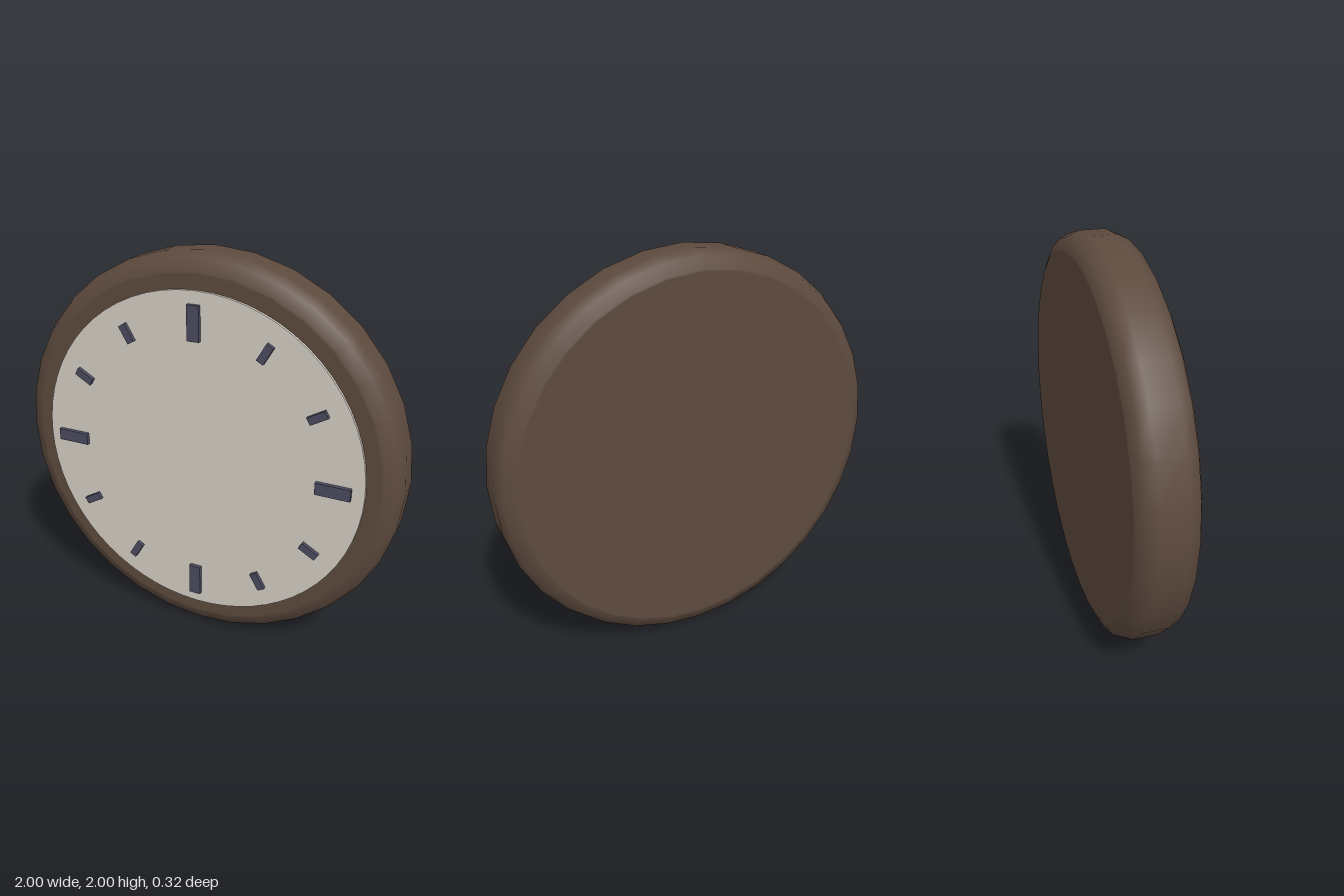
import * as THREE from 'three';

const bodyMat = new THREE.MeshStandardMaterial({ name: 'brown casing', color: 0x5d4a3e });
const dialMat = new THREE.MeshStandardMaterial({ name: 'cream dial', color: 0xd5cfc4 });
const markMat = new THREE.MeshStandardMaterial({ name: 'slate markers', color: 0x4a4a5f });

const BACK = -0.16, FRONT = 0.125, DIAL = 0.14, TOP = 0.16;

function addMesh(parent, name, geometry, material) {
  const mesh = new THREE.Mesh(geometry, material);
  mesh.name = name;
  parent.add(mesh);
  return mesh;
}

export function createModel() {
  const clock = new THREE.Group();
  clock.name = 'wallClock';

  // Round casing with a two-step bevel; the narrow rings near 0.91 keep the caps flat
  const profile = [
    [0, BACK], [0.91, BACK], [0.92, BACK], [0.975, BACK + 0.025], [1, BACK + 0.08],
    [1, FRONT - 0.08], [0.975, FRONT - 0.025], [0.92, FRONT], [0.91, FRONT], [0, FRONT],
  ].map(([r, z]) => new THREE.Vector2(r, z));
  const casing = new THREE.LatheGeometry(profile, 32).rotateX(Math.PI / 2);
  addMesh(clock, 'casing', casing, bodyMat).position.y = 1;

  // Thin raised dial
  const dial = new THREE.CylinderGeometry(0.84, 0.84, DIAL - FRONT, 64).rotateX(Math.PI / 2);
  addMesh(clock, 'dial', dial, dialMat).position.set(0, 1, (DIAL + FRONT) / 2);

  // Hour markers, longer at the quarters
  const markers = new THREE.Group();
  markers.name = 'hourMarkers';
  clock.add(markers);
  const depth = TOP - DIAL;
  const quarter = new THREE.BoxGeometry(0.06, 0.168, depth);
  const hour = new THREE.BoxGeometry(0.038, 0.094, depth);
  for (let i = 0; i < 12; i++) {
    const a = (i * Math.PI) / 6;
    const isQuarter = i % 3 === 0;
    const mark = addMesh(markers, isQuarter ? 'quarterMarker' : 'hourMarker', isQuarter ? quarter : hour, markMat);
    mark.position.set(Math.sin(a) * 0.695, 1 + Math.cos(a) * 0.695, DIAL + depth / 2);
    mark.rotation.z = -a;
  }
  return clock;
}
